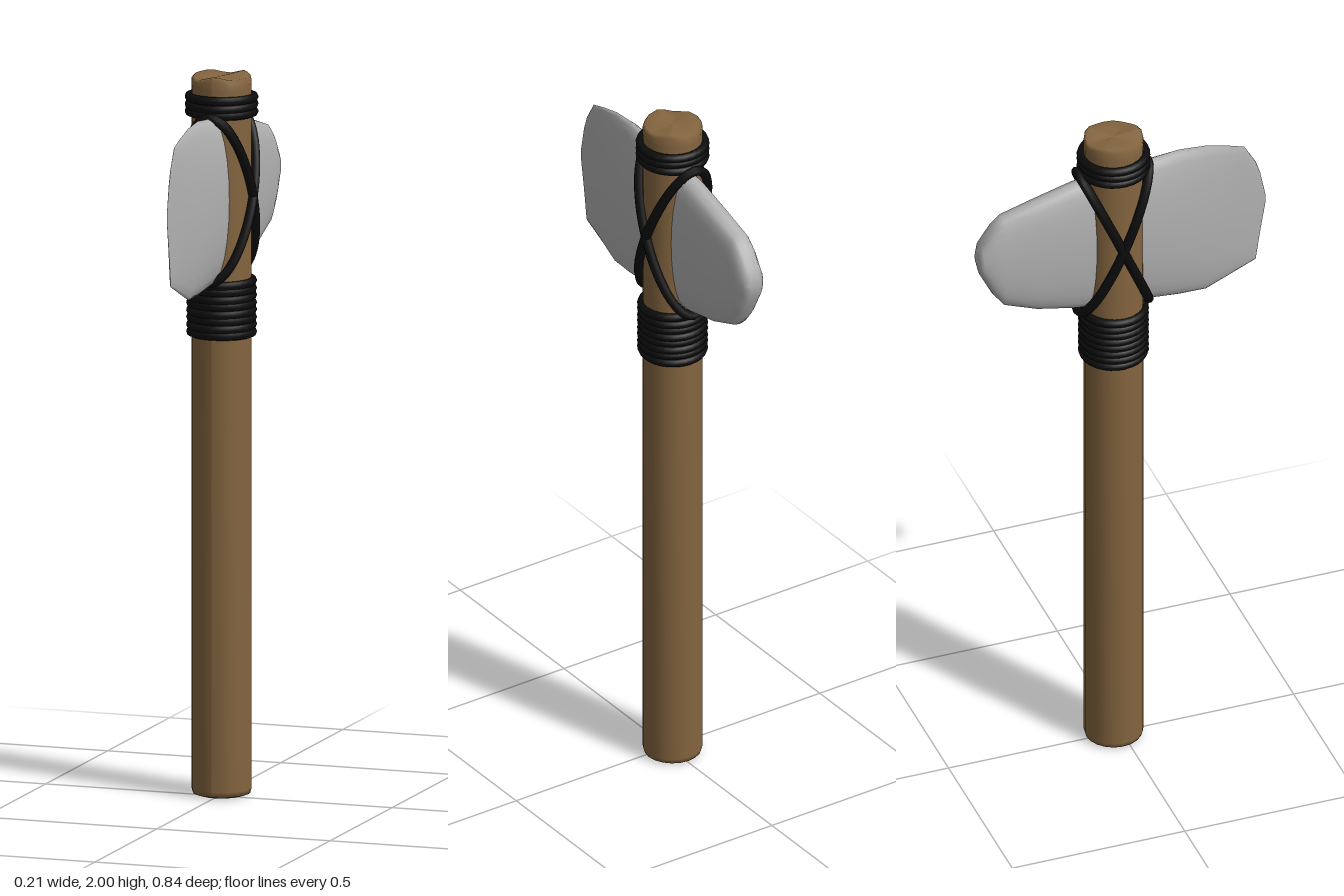
import * as THREE from 'three';

const CZ = -0.022; // handle axis

const wood = new THREE.MeshStandardMaterial({ color: 0x84653f });
wood.name = 'wood';
const stone = new THREE.MeshStandardMaterial({ color: 0xb2b2b2 });
stone.name = 'stone';
const cord = new THREE.MeshStandardMaterial({ color: 0x0c0c0c });
cord.name = 'black cord';

function add(parent, name, geometry, material) {
  const mesh = new THREE.Mesh(geometry, material);
  mesh.name = name;
  parent.add(mesh);
  return mesh;
}

// Round shaft with softened ends and a roughly hewn top
function handleGeometry() {
  const profile = [
    [0, 0], [0.06, 0], [0.078, 0.006], [0.082, 0.02], [0.082, 1.0],
    [0.082, 1.96], [0.081, 1.985], [0.074, 1.992], [0.04, 1.99], [0, 1.99],
  ].map(([x, y]) => new THREE.Vector2(x, y));
  const g = new THREE.LatheGeometry(profile, 20);
  const p = g.attributes.position;
  for (let i = 0; i < p.count; i++) {
    if (p.getY(i) < 1.98) continue;
    const a = Math.atan2(p.getX(i), p.getZ(i));
    const r = Math.hypot(p.getX(i), p.getZ(i)) / 0.082;
    p.setY(i, p.getY(i) + r * (0.005 * Math.sin(3 * a + 1) + 0.003 * Math.cos(5 * a)));
  }
  g.computeVertexNormals();
  return g;
}

// Stone head lofted along z: [z, top, bottom, half thickness, roundness]
function headGeometry() {
  const stations = [
    [-0.417, 1.695, 1.655, 0.02, 0.7],
    [-0.408, 1.725, 1.62, 0.034, 0.65],
    [-0.375, 1.775, 1.555, 0.04, 0.6],
    [-0.345, 1.802, 1.515, 0.043, 0.6],
    [-0.25, 1.83, 1.478, 0.046, 0.6],
    [-0.135, 1.862, 1.453, 0.05, 0.65],
    [0.0, 1.88, 1.44, 0.048, 0.8],
    [0.09, 1.89, 1.427, 0.045, 0.9],
    [0.17, 1.899, 1.418, 0.037, 1],
    [0.246, 1.893, 1.417, 0.026, 1],
    [0.31, 1.877, 1.445, 0.0165, 1],
    [0.357, 1.862, 1.466, 0.009, 1],
    [0.39, 1.805, 1.48, 0.0045, 1],
    [0.403, 1.765, 1.57, 0.0025, 1],
    [0.418, 1.69, 1.66, 0.0005, 1],
  ];
  const N = 24, pos = [], idx = [];
  for (const [z, top, bottom, w, e] of stations) {
    for (let j = 0; j < N; j++) {
      const a = (j / N) * Math.PI * 2, c = Math.cos(a), s = Math.sin(a);
      pos.push(w * Math.sign(c) * Math.abs(c) ** e,
        (top + bottom) / 2 + ((top - bottom) / 2) * s, z);
    }
  }
  for (let i = 0; i < stations.length - 1; i++) {
    for (let j = 0; j < N; j++) {
      const a = i * N + j, b = i * N + (j + 1) % N;
      idx.push(a, b, b + N, a, b + N, a + N);
    }
  }
  // close the butt and the cutting edge
  const last = (stations.length - 1) * N;
  for (let j = 1; j < N - 1; j++) {
    idx.push(0, j + 1, j, last, last + j, last + j + 1);
  }
  const g = new THREE.BufferGeometry();
  g.setAttribute('position', new THREE.Float32BufferAttribute(pos, 3));
  g.setIndex(idx);
  g.computeVertexNormals();
  return g;
}

// Stack of cord rings around the shaft
function wrapping(name, count, y0, pitch, radius) {
  const group = new THREE.Group();
  group.name = name;
  for (let i = 0; i < count; i++) {
    const coil = add(group, 'cordCoil', new THREE.TorusGeometry(radius, 0.0125, 8, 28), cord);
    coil.rotation.x = Math.PI / 2 + (i % 2 ? 0.02 : -0.02);
    coil.position.set(0, y0 + i * pitch, CZ);
  }
  return group;
}

// Slanted cord loop passing over the head on one side and under it on the other
function crossLoop(lean) {
  const points = [];
  for (let i = 0; i < 32; i++) {
    const a = (i / 32) * Math.PI * 2;
    points.push(new THREE.Vector3(0.09 * Math.cos(a),
      1.662 + 0.228 * Math.sin(a), -0.025 + lean * 0.1 * Math.sin(a)));
  }
  return new THREE.TubeGeometry(new THREE.CatmullRomCurve3(points, true), 64, 0.0135, 8, true);
}

export function createModel() {
  const model = new THREE.Group();
  model.name = 'stoneAxe';
  add(model, 'handle', handleGeometry(), wood).position.z = CZ;
  add(model, 'axeHead', headGeometry(), stone);
  model.add(wrapping('lowerWrapping', 8, 1.283, 0.0201, 0.084));
  model.add(wrapping('upperWrapping', 3, 1.893, 0.02, 0.088));
  for (const lean of [1, -1]) add(model, 'crossLashing', crossLoop(lean), cord);
  return model;
}
